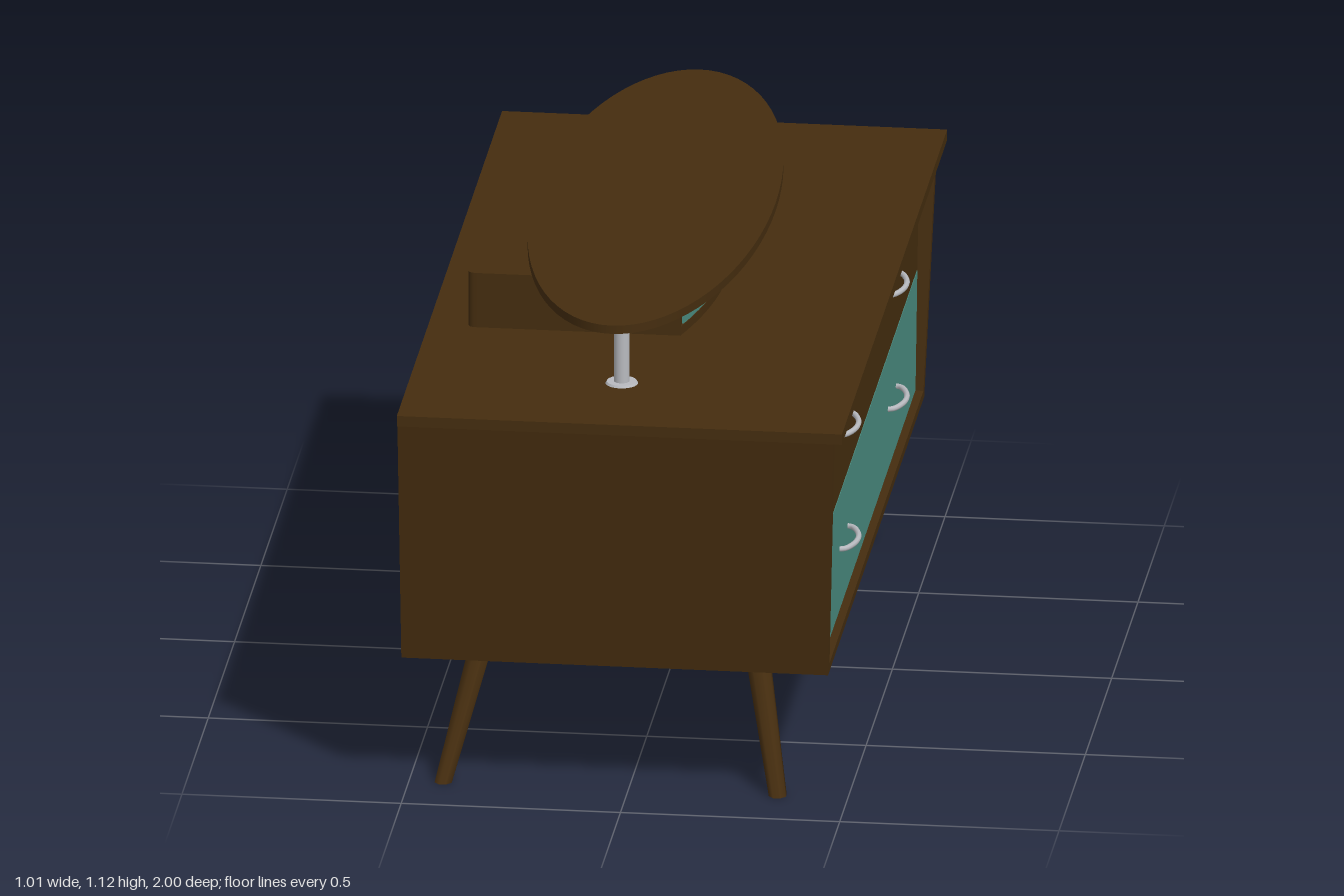
import * as THREE from 'three';

const mat = (name, color) => {
  const m = new THREE.MeshStandardMaterial({ color });
  m.name = name;
  return m;
};

export function createModel() {
  const wood = mat('dark wood', 0x452d0f);
  const teal = mat('teal paint', 0x4a8c80);
  const metal = mat('brushed metal', 0xb8babf);
  const model = new THREE.Group();
  model.name = 'sideboard';

  const add = (name, geometry, material, x = 0, y = 0, z = 0) => {
    const mesh = new THREE.Mesh(geometry, material);
    mesh.name = name;
    mesh.position.set(x, y, z);
    model.add(mesh);
    return mesh;
  };

  // Tapered outline of the cabinet
  const outerZ = (y) => 0.914 + (y - 0.32) * 0.127;
  const innerZ = (y) => outerZ(y) - 0.025;
  const frontX = (y) => 0.463 + (y - 0.32) * 0.036;

  // Box whose front and ends follow functions of height
  const taperedBox = (x0, x1, y0, y1, z0, z1) => {
    const g = new THREE.BoxGeometry(1, 1, 1);
    const p = g.attributes.position;
    for (let i = 0; i < p.count; i++) {
      const y = p.getY(i) > 0 ? y1 : y0;
      p.setXYZ(i, p.getX(i) > 0 ? x1(y) : x0, y, p.getZ(i) > 0 ? z1(y) : z0(y));
    }
    g.computeVertexNormals();
    return g;
  };
  const neg = (f) => (y) => -f(y);

  // Cabinet body
  add('cabinetTop', new THREE.BoxGeometry(1.015, 0.025, 2), wood, -0.0025, 0.9225, 0);
  add('cabinetCore', taperedBox(-0.51, () => 0.43, 0.342, 0.91, neg(innerZ), innerZ), wood);
  add('cabinetBottom', taperedBox(-0.51, frontX, 0.32, 0.342, neg(innerZ), innerZ), wood);
  add('leftEndPanel', taperedBox(-0.51, frontX, 0.32, 0.91, innerZ, outerZ), wood);
  add('rightEndPanel', taperedBox(-0.51, frontX, 0.32, 0.91, neg(outerZ), neg(innerZ)), wood);

  // Drawers with bowed pulls
  const drawerZ = (y) => innerZ(y) - 0.002;
  const drawerX = () => 0.446;
  add('upperDrawer', taperedBox(0.4, drawerX, 0.624, 0.907, neg(drawerZ), drawerZ), wood);
  add('lowerDrawer', taperedBox(0.4, drawerX, 0.344, 0.62, neg(drawerZ), drawerZ), teal);
  const pullPath = new THREE.CatmullRomCurve3([
    [0.436, -0.078], [0.456, -0.072], [0.473, -0.04], [0.479, 0],
    [0.473, 0.04], [0.456, 0.072], [0.436, 0.078],
  ].map(([x, z]) => new THREE.Vector3(x, 0, z)));
  const pull = new THREE.TubeGeometry(pullPath, 28, 0.0065, 8);
  for (const y of [0.765, 0.49]) {
    for (const z of [0.473, -0.444]) add('drawerPull', pull, metal, 0, y, z);
  }

  // Splayed legs, sheared so that both ends stay level
  for (const [topX, footX] of [[-0.342, -0.422], [0.262, 0.34]]) {
    for (const side of [1, -1]) {
      const g = new THREE.CylinderGeometry(0.03, 0.021, 0.33, 8);
      g.rotateY(Math.PI / 8);
      const p = g.attributes.position;
      for (let i = 0; i < p.count; i++) {
        const t = p.getY(i) / 0.33 + 0.5;
        p.setX(i, p.getX(i) + footX + (topX - footX) * t);
        p.setZ(i, p.getZ(i) * 1.12 + side * (0.845 - 0.195 * t));
      }
      g.computeVertexNormals();
      add('leg', g, wood, 0, 0.165, 0);
    }
  }

  // Small bow-fronted box on the cabinet
  const bowedSlab = (back, half, inset, height, corner) => {
    const bow = (z) => 0.065 + 0.061 * (1 - (z / 0.405) ** 2) - inset;
    const s = new THREE.Shape();
    s.moveTo(back + corner, -half);
    for (let i = 0; i <= 24; i++) {
      const z = -half + (2 * half * i) / 24;
      s.lineTo(bow(z), z);
    }
    s.lineTo(back + corner, half);
    s.quadraticCurveTo(back, half, back, half - corner);
    s.lineTo(back, -half + corner);
    s.quadraticCurveTo(back, -half, back + corner, -half);
    const g = new THREE.ExtrudeGeometry(s, { depth: height, bevelEnabled: false, curveSegments: 6 });
    return g.rotateX(-Math.PI / 2);
  };
  add('boxFloor', bowedSlab(-0.42, 0.405, 0, 0.021, 0.02), wood, 0, 0.935, 0);
  add('boxLid', bowedSlab(-0.42, 0.405, 0, 0.007, 0.02), wood, 0, 1.059, 0);
  add('boxDrawer', bowedSlab(-0.1, 0.382, 0.002, 0.103, 0.01), teal, 0, 0.956, 0);
  const shell = new THREE.Shape();
  shell.moveTo(0.066, -0.405);
  shell.lineTo(0.066, -0.383);
  shell.lineTo(-0.12, -0.383);
  shell.lineTo(-0.12, 0.383);
  shell.lineTo(0.066, 0.383);
  shell.lineTo(0.066, 0.405);
  shell.lineTo(-0.4, 0.405);
  shell.quadraticCurveTo(-0.42, 0.405, -0.42, 0.385);
  shell.lineTo(-0.42, -0.385);
  shell.quadraticCurveTo(-0.42, -0.405, -0.4, -0.405);
  const shellGeo = new THREE.ExtrudeGeometry(shell, { depth: 0.103, bevelEnabled: false, curveSegments: 6 });
  add('boxWalls', shellGeo.rotateX(-Math.PI / 2), wood, 0, 0.956, 0);

  // Knob of the small drawer
  add('knobStem', new THREE.CylinderGeometry(0.005, 0.005, 0.03, 12).rotateZ(-Math.PI / 2), metal, 0.136, 1.008, 0);
  add('knobCap', new THREE.CylinderGeometry(0.013, 0.013, 0.004, 20).rotateZ(-Math.PI / 2), metal, 0.15, 1.008, 0);

  // Raised oval shelf on two posts
  const oval = new THREE.CylinderGeometry(1, 1, 0.02, 72);
  add('ovalShelf', oval, wood, -0.04, 1.105, 0).scale.set(0.274, 1, 0.84);
  const post = new THREE.CylinderGeometry(0.0175, 0.0175, 0.16, 24);
  const flange = new THREE.CylinderGeometry(0.034, 0.037, 0.005, 24);
  for (const z of [0.725, -0.725]) {
    add('shelfPost', post, metal, -0.03, 1.015, z);
    add('postFlange', flange, metal, -0.03, 0.9375, z);
  }
  return model;
}
